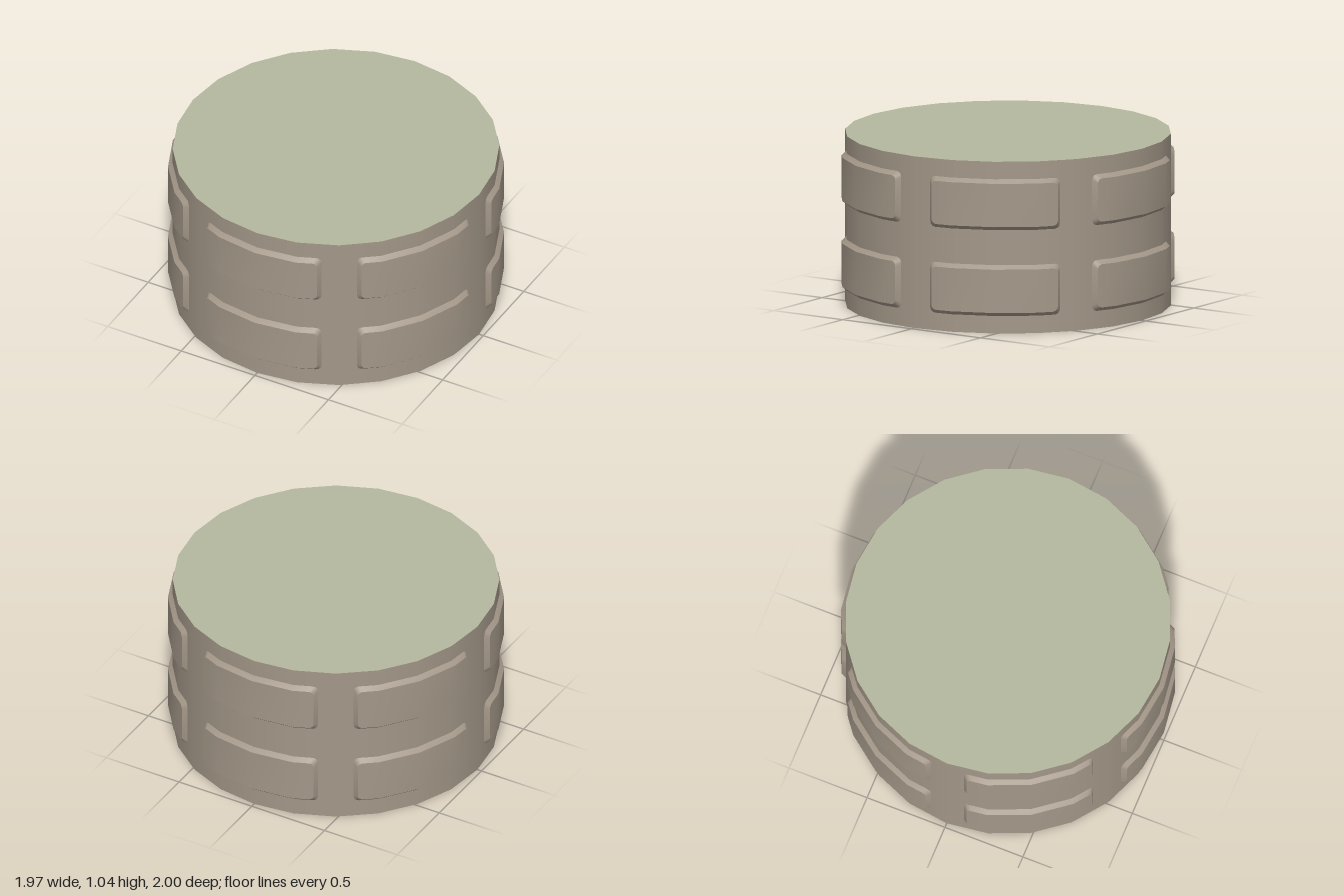
import * as THREE from 'three';
import { toCreasedNormals } from 'three/addons/utils/BufferGeometryUtils.js';

const SIDES = 24, BODY_R = 0.972, PAD_R = 1.0, HEIGHT = 1.04;
const STEP = (2 * Math.PI) / SIDES;
const rad = THREE.MathUtils.degToRad;

// Point on a 24-sided prism of corner radius r, at angle a from +z
function onPrism(r, a, y) {
  const within = a - Math.floor(a / STEP + 1e-6) * STEP;
  const d = (r * Math.cos(STEP / 2)) / Math.cos(within - STEP / 2);
  return [d * Math.sin(a), y, d * Math.cos(a)];
}

// Columns (angle, half height) of a rounded rectangle wrapped round the prism
function columns(halfAngle, halfHeight, corner) {
  const end = [];
  for (let i = 0; i <= 3; i++) {
    const t = (i / 3) * (Math.PI / 2);
    end.push([halfAngle - corner + corner * Math.sin(t), halfHeight - corner + corner * Math.cos(t)]);
  }
  const right = [[STEP, halfHeight], ...end];
  const left = right.map(([a, h]) => [-a, h]).reverse();
  return [...left, [0, halfHeight], ...right];
}

// Raised pad: curved face with a bevel all round it
function padGeometry() {
  const face = columns(rad(22.4), 0.131, 0.03);
  const base = columns(rad(23.8), 0.155, 0.035);
  const pos = [];
  const quad = (a, b, c, d) => pos.push(...a, ...b, ...c, ...a, ...c, ...d);
  const f = (i, s) => onPrism(PAD_R, face[i][0], s * face[i][1]);
  const b = (i, s) => onPrism(BODY_R - 0.001, base[i][0], s * base[i][1]);
  const last = face.length - 1;
  for (let i = 0; i < last; i++) {
    quad(f(i, -1), f(i + 1, -1), f(i + 1, 1), f(i, 1));
    quad(f(i, 1), f(i + 1, 1), b(i + 1, 1), b(i, 1));
    quad(b(i, -1), b(i + 1, -1), f(i + 1, -1), f(i, -1));
  }
  quad(b(0, -1), f(0, -1), f(0, 1), b(0, 1));
  quad(f(last, -1), b(last, -1), b(last, 1), f(last, 1));
  const g = new THREE.BufferGeometry();
  g.setAttribute('position', new THREE.Float32BufferAttribute(pos, 3));
  return toCreasedNormals(g, rad(32));
}

export function createModel() {
  const group = new THREE.Group();
  group.name = 'paddedDrum';
  const brown = new THREE.MeshStandardMaterial({ color: 0xa39788 });
  brown.name = 'warm grey brown';
  const green = new THREE.MeshStandardMaterial({ color: 0xb4b89f });
  green.name = 'pale sage green';

  // Drum with brown wall and green ends
  const drum = new THREE.Mesh(
    new THREE.CylinderGeometry(BODY_R, BODY_R, HEIGHT, SIDES), [brown, green, green]);
  drum.name = 'drum';
  drum.position.y = HEIGHT / 2;
  group.add(drum);

  // Two rings of six pads
  const geometry = padGeometry();
  [['lowerPads', 0.26], ['upperPads', 0.78]].forEach(([name, y]) => {
    const ring = new THREE.Group();
    ring.name = name;
    ring.position.y = y;
    for (let i = 0; i < 6; i++) {
      const pad = new THREE.Mesh(geometry, brown);
      pad.name = 'pad';
      pad.rotation.y = (i * Math.PI) / 3;
      ring.add(pad);
    }
    group.add(ring);
  });
  return group;
}
